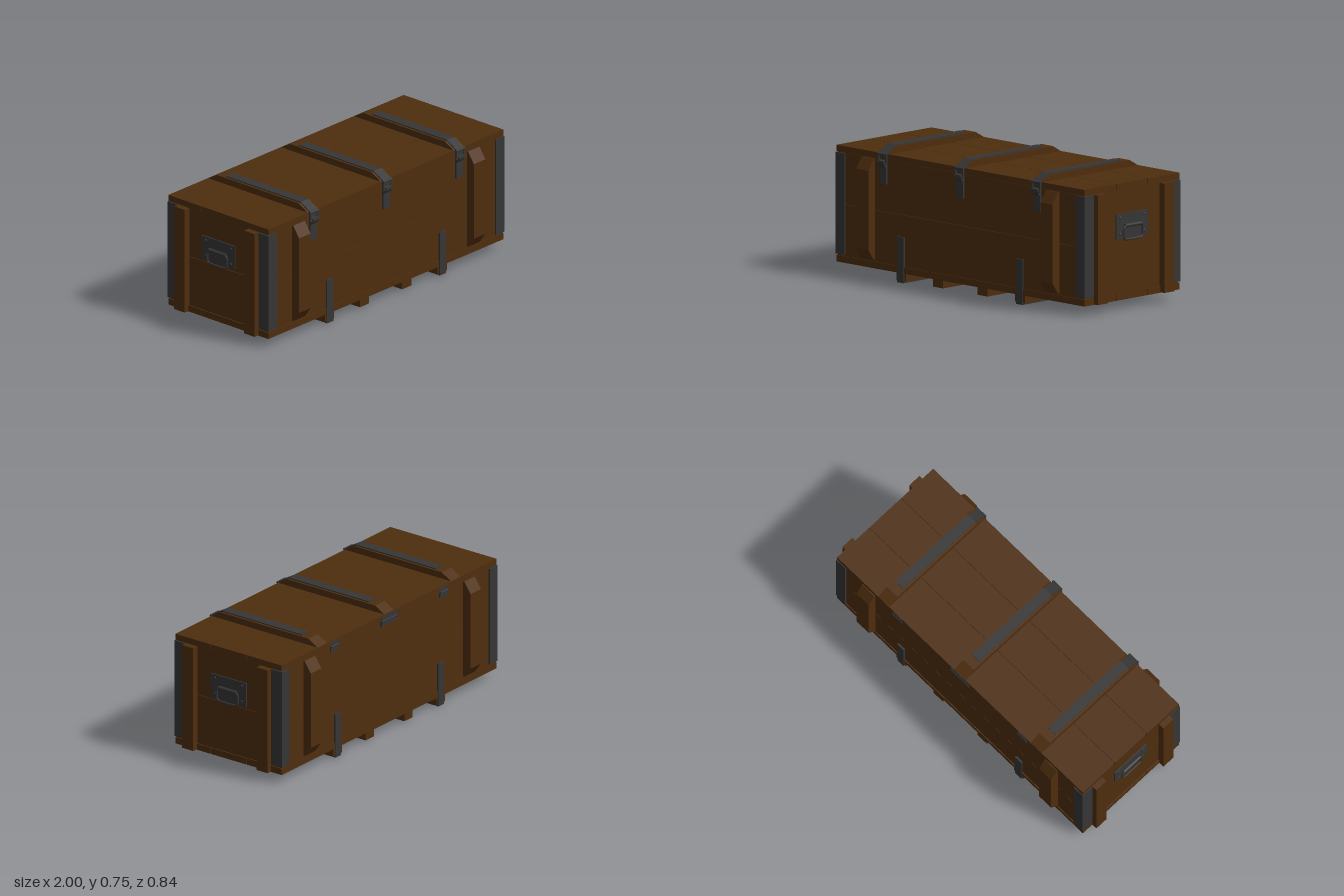
import * as THREE from 'three';

const wood = new THREE.MeshStandardMaterial({ color: 0x4e2e0e });
wood.name = 'brown wood';
const iron = new THREE.MeshStandardMaterial({ color: 0x363636 });
iron.name = 'dark iron';

export function createModel() {
  const model = new THREE.Group();
  model.name = 'crate';

  function add(name, geometry, material) {
    const mesh = new THREE.Mesh(geometry, material);
    mesh.name = name;
    model.add(mesh);
    return mesh;
  }

  // Box given by its lower and upper limits on each axis
  function block(name, material, [x0, x1], [y0, y1], [z0, z1]) {
    const g = new THREE.BoxGeometry(x1 - x0, y1 - y0, z1 - z0);
    g.translate((x0 + x1) / 2, (y0 + y1) / 2, (z0 + z1) / 2);
    return add(name, g, material);
  }

  // Side profile of [z, y] points, given a width along x
  function profile(name, material, points, x, width) {
    const shape = new THREE.Shape(points.map(([z, y]) => new THREE.Vector2(z, y)));
    const g = new THREE.ExtrudeGeometry(shape, { depth: width, bevelEnabled: false });
    g.translate(0, 0, -width / 2).rotateY(-Math.PI / 2).translate(x, 0, 0);
    return add(name, g, material);
  }

  // Body: core with two wall planks per side
  block('core', wood, [-0.955, 0.955], [0.06, 0.70], [-0.36, 0.36]);
  for (const y of [[0.09, 0.379], [0.382, 0.67]]) {
    block('frontPlank', wood, [-0.96, 0.96], y, [0.345, 0.366]);
    block('backPlank', wood, [-0.96, 0.96], y, [-0.366, -0.345]);
    block('rightEndPlank', wood, [-0.96, -0.94], y, [-0.345, 0.345]);
    block('leftEndPlank', wood, [0.94, 0.96], y, [-0.345, 0.345]);
  }

  // Lid and floor, three planks each
  for (const z of [[-0.371, -0.125], [-0.122, 0.122], [0.125, 0.371]]) {
    block('lidPlank', wood, [-0.967, 0.967], [0.672, 0.707], z);
    block('floorPlank', wood, [-0.967, 0.967], [0.053, 0.09], z);
  }

  // Lid battens, straps and latches
  for (const x of [-0.6, 0, 0.6]) {
    profile('lidBatten', wood,
      [[-0.37, 0.707], [0.37, 0.707], [0.305, 0.744], [-0.305, 0.744]], x, 0.085);
    profile('lidStrap', iron, [
      [-0.25, 0.743], [0.305, 0.743], [0.368, 0.705], [0.368, 0.675],
      [0.378, 0.675], [0.378, 0.709], [0.307, 0.75], [-0.25, 0.75],
    ], x, 0.058);
    block('latchPlate', iron, [x - 0.026, x + 0.026], [0.535, 0.668], [0.364, 0.376]);
    profile('latchLever', iron,
      [[0.37, 0.625], [0.384, 0.635], [0.394, 0.655], [0.394, 0.668], [0.37, 0.668]], x, 0.05);
    for (const s of [-1, 1]) {
      block('latchLink', iron, [x + s * 0.03 - 0.005, x + s * 0.03 + 0.005], [0.65, 0.706], [0.374, 0.384]);
    }
    for (const y of [0.655, 0.704]) {
      const pin = new THREE.CylinderGeometry(0.007, 0.007, 0.072, 10);
      add('latchPin', pin.rotateZ(Math.PI / 2).translate(x, y, 0.381), iron);
    }
  }

  // Hinges along the back of the lid
  for (const [x, w] of [[-0.49, 0.07], [0, 0.14], [0.49, 0.07]]) {
    block('hingeLeaf', iron, [x - w / 2, x + w / 2], [0.64, 0.7], [-0.374, -0.364]);
    const barrel = new THREE.CylinderGeometry(0.006, 0.006, w, 10);
    add('hingeBarrel', barrel.rotateZ(Math.PI / 2).translate(x, 0.671, -0.373), iron);
  }

  // Chamfered upright battens on the long sides
  for (const x of [-0.718, 0.718]) {
    for (const s of [-1, 1]) {
      const pts = [[0.364, 0.1], [0.375, 0.1], [0.418, 0.16], [0.418, 0.605], [0.375, 0.668], [0.364, 0.668]];
      profile('sideBatten', wood, pts.map(([z, y]) => [z * s, y]), x, 0.095);
    }
  }

  // Corner irons and end battens
  for (const sx of [-1, 1]) {
    for (const sz of [-1, 1]) {
      const corner = [[0.9, 0.36], [0.9, 0.375], [0.97, 0.375], [0.97, 0.3], [0.955, 0.3], [0.955, 0.36]];
      const shape = new THREE.Shape(corner.map(([x, z]) => new THREE.Vector2(x * sx, -z * sz)));
      const g = new THREE.ExtrudeGeometry(shape, { depth: 0.57, bevelEnabled: false });
      add('cornerIron', g.rotateX(-Math.PI / 2).translate(0, 0.098, 0), iron);

      const batten = new THREE.BoxGeometry(0.044, 0.613, 0.078);
      add('endBatten', batten.translate(sx * 0.978, 0.3625, sz * 0.259), wood);
    }
  }

  // Skids under the floor, the outer two wrapped in iron
  for (const x of [-0.463, -0.175, 0.172, 0.463]) {
    block('skid', wood, [x - 0.038, x + 0.038], [0.01, 0.055], [-0.37, 0.37]);
  }
  for (const x of [-0.463, 0.463]) {
    profile('skidStrap', iron, [
      [-0.376, 0], [0.376, 0], [0.376, 0.255], [0.364, 0.255],
      [0.364, 0.01], [-0.364, 0.01], [-0.364, 0.255], [-0.376, 0.255],
    ], x, 0.05);
  }

  // Carrying handles on both ends
  for (const s of [-1, 1]) {
    const plate = new THREE.BoxGeometry(0.012, 0.141, 0.246);
    add('handlePlate', plate.translate(s * 0.962, 0.4655, 0), iron);
    for (const z of [-0.093, 0.093]) {
      for (const y of [0.422, 0.514]) {
        const rivet = new THREE.SphereGeometry(0.009, 10, 6);
        rivet.scale(0.6, 1, 1).translate(s * 0.968, y, z);
        add('rivet', rivet, iron);
      }
    }
    const ring = [
      [-0.055, 0.391], [0.055, 0.391], [0.069, 0.396], [0.073, 0.41], [0.073, 0.445], [0.069, 0.459],
      [0.055, 0.464], [-0.055, 0.464], [-0.069, 0.459], [-0.073, 0.445], [-0.073, 0.41], [-0.069, 0.396],
    ].map(([z, y]) => new THREE.Vector3(s * 0.977, y, z));
    const path = new THREE.CatmullRomCurve3(ring, true);
    add('handle', new THREE.TubeGeometry(path, 60, 0.0065, 8, true), iron);
    const sleeve = new THREE.CylinderGeometry(0.011, 0.011, 0.128, 12);
    add('handleSleeve', sleeve.rotateX(Math.PI / 2).translate(s * 0.974, 0.467, 0), iron);
  }

  return model;
}
